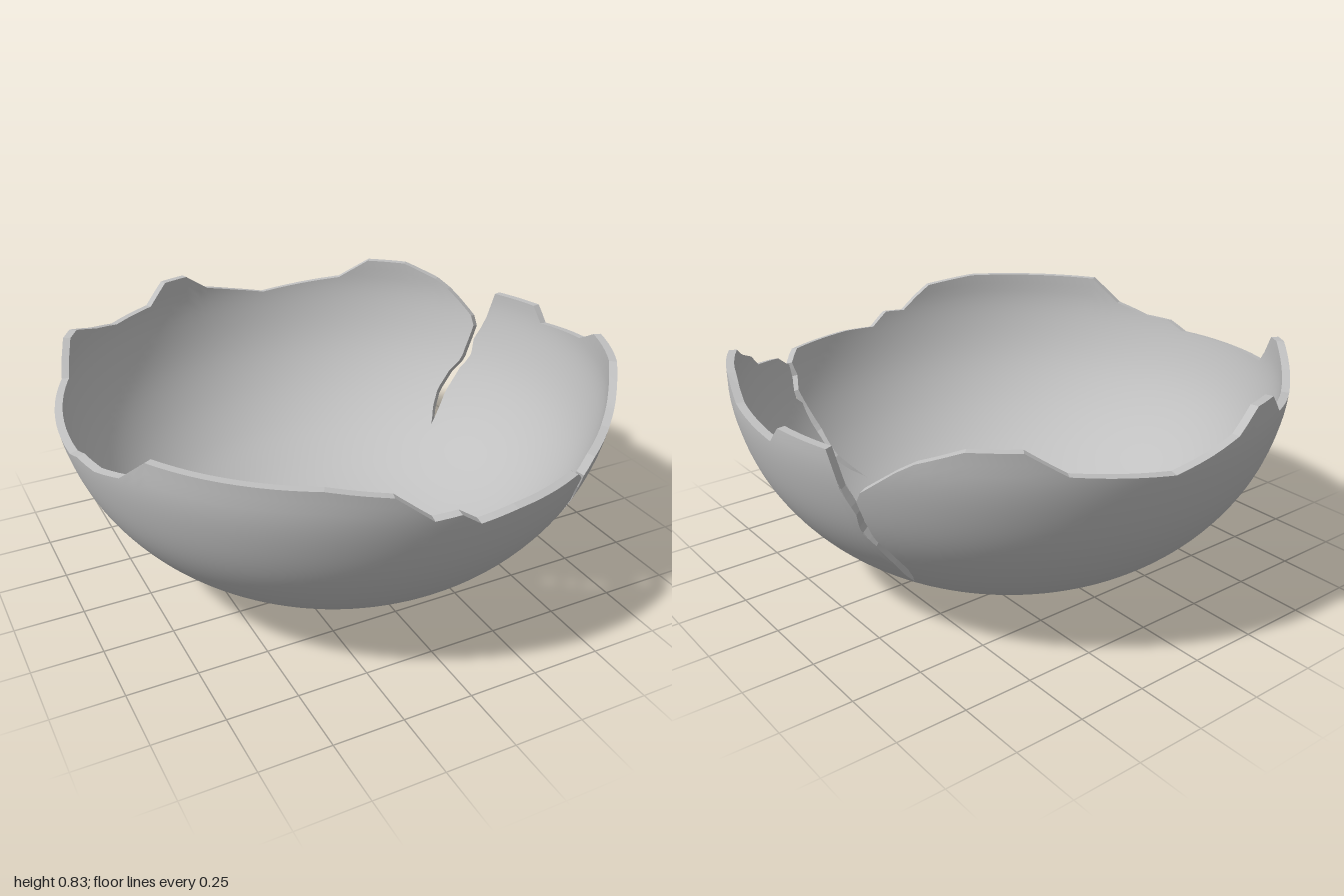
import * as THREE from 'three';

const DEG = Math.PI / 180, THICK = 0.028, ROWS = 44;

// Linear interpolation through [key, value] pairs, clamped at both ends
function lerpTable(table, k) {
  if (k <= table[0][0]) return table[0][1];
  for (let i = 1; i < table.length; i++) {
    const [a, va] = table[i - 1], [b, vb] = table[i];
    if (k <= b) return va + (vb - va) * (k - a) / (b - a);
  }
  return table[table.length - 1][1];
}

// Bowl profile: radius against the square root of height (keeps the base smooth)
const profile = new THREE.CatmullRomCurve3(
  [[0, 0], [0.01, 0.14], [0.02, 0.27], [0.048, 0.4], [0.1, 0.535], [0.18, 0.674], [0.315, 0.82],
    [0.465, 0.92], [0.6, 0.972], [0.72, 0.997], [0.835, 1]]
    .map(([y, r]) => new THREE.Vector3(Math.sqrt(y), r, 0))
).getPoints(160).map(p => [p.x, p.y]);
const radius = q => lerpTable(profile, q);

// Broken rim: [angle from the front towards +x, height]
const rim = [
  [30.3, 0.615], [31.5, 0.63], [33.6, 0.66], [43.2, 0.69], [46, 0.74], [52.3, 0.785], [57, 0.83],
  [71.4, 0.83], [78.4, 0.765], [94, 0.725], [97, 0.785], [109.4, 0.775], [111.2, 0.64],
  [114.4, 0.61], [115.5, 0.65], [123, 0.745], [126.5, 0.78], [135, 0.83], [144.5, 0.83],
  [152, 0.75], [172, 0.7], [180, 0.73], [187, 0.76], [192.7, 0.83], [199, 0.83], [204, 0.75],
  [216, 0.74], [224, 0.775], [233, 0.83], [237, 0.825], [242, 0.7], [256, 0.685], [273, 0.67],
  [278, 0.7], [285, 0.7], [293, 0.735], [300, 0.83], [332, 0.83], [343.5, 0.8], [346.5, 0.76],
  [350.7, 0.7], [355.7, 0.705], [360, 0.65], [368, 0.66], [385.5, 0.66], [388.6, 0.625], [389, 0.61]
];

// Crack edges from [height, x] or [height, z] to [height, angle]
const fromX = pts => pts.map(([y, x]) => [y, Math.asin(x / radius(Math.sqrt(y))) / DEG]);
const fromZ = pts => pts.map(([y, z]) => [y, Math.acos(z / radius(Math.sqrt(y))) / DEG]);
const frontCrackLeft = fromX([[0.16, 0.32], [0.2, 0.38], [0.235, 0.415], [0.33, 0.445], [0.395, 0.465],
  [0.46, 0.472], [0.48, 0.497], [0.51, 0.5], [0.565, 0.487], [0.615, 0.49]]);
const frontCrackRight = fromX([[0.16, 0.32], [0.205, 0.362], [0.255, 0.402], [0.35, 0.42], [0.43, 0.447],
  [0.51, 0.472], [0.56, 0.455], [0.61, 0.47]]).map(([y, a]) => [y, a + 360]);
const sideCrackFront = fromZ([[0.215, -0.32], [0.33, -0.375], [0.43, -0.38], [0.485, -0.36],
  [0.56, -0.38], [0.64, -0.355]]);
const sideCrackBack = fromZ([[0.215, -0.32], [0.27, -0.375], [0.33, -0.41], [0.41, -0.415],
  [0.465, -0.395], [0.51, -0.4], [0.61, -0.4]]);

// One wall piece between two crack edges, as outer skin, inner skin and broken faces
function shellPiece(startEdge, endEdge) {
  const a0 = startEdge[startEdge.length - 1][1], a1 = endEdge[endEdge.length - 1][1];
  const angles = [a0, a1];
  for (const [a] of rim) if (a > a0 + 0.3 && a < a1 - 0.3) angles.push(a);
  for (let a = Math.ceil(a0 / 3) * 3; a < a1; a += 3) {
    if (angles.every(b => Math.abs(a - b) > 0.8)) angles.push(a);
  }
  angles.sort((a, b) => a - b);

  const outer = [], inner = [], normals = [];
  for (const a of angles) {
    const top = Math.sqrt(lerpTable(rim, a));
    for (let j = 0; j <= ROWS; j++) {
      const q = top * j / ROWS, y = q * q, e = 0.012;
      const w0 = Math.max(0, 1 - (a - a0) / 25), w1 = Math.max(0, 1 - (a1 - a) / 25);
      const t = (a + (lerpTable(startEdge, y) - a0) * w0 + (lerpTable(endEdge, y) - a1) * w1) * DEG;
      const lo = Math.max(0, q - e), hi = Math.min(0.913, q + e);
      const slope = (radius(hi) - radius(lo)) / (hi - lo);
      const len = Math.hypot(2 * q, slope), nr = 2 * q / len, ny = -slope / len;
      const n = new THREE.Vector3(Math.sin(t) * nr, ny, Math.cos(t) * nr);
      const p = new THREE.Vector3(Math.sin(t) * radius(q), y, Math.cos(t) * radius(q));
      normals.push(n);
      outer.push(p);
      inner.push(p.clone().addScaledVector(n, -THICK));
    }
  }
  const id = (i, j) => i * (ROWS + 1) + j, last = angles.length - 1;

  const skin = (points, flip) => {
    const index = [];
    for (let i = 0; i < last; i++) for (let j = 0; j < ROWS; j++) {
      const a = id(i, j), b = id(i + 1, j), c = id(i + 1, j + 1), d = id(i, j + 1);
      index.push(...(flip ? [a, c, b, a, d, c] : [a, b, c, a, c, d]));
    }
    const g = new THREE.BufferGeometry().setFromPoints(points);
    const ns = normals.flatMap(n => n.clone().multiplyScalar(flip ? -1 : 1).toArray());
    g.setAttribute('normal', new THREE.Float32BufferAttribute(ns, 3));
    g.setIndex(index);
    return g;
  };

  // Broken faces along the rim and both crack sides
  const faces = [];
  const quad = (a, b, c, d) => faces.push(a, b, c, a, c, d);
  for (let i = 0; i < last; i++) {
    const a = id(i, ROWS), b = id(i + 1, ROWS);
    quad(outer[a], outer[b], inner[b], inner[a]);
  }
  for (let j = 0; j < ROWS; j++) {
    const y = outer[id(0, j + 1)].y;
    if (y > startEdge[0][0]) {
      const a = id(0, j), b = id(0, j + 1);
      quad(inner[a], outer[a], outer[b], inner[b]);
    }
    if (outer[id(last, j + 1)].y > endEdge[0][0]) {
      const a = id(last, j), b = id(last, j + 1);
      quad(outer[a], inner[a], inner[b], outer[b]);
    }
  }
  const edge = new THREE.BufferGeometry().setFromPoints(faces);
  edge.computeVertexNormals();
  return { outerSkin: skin(outer, false), innerSkin: skin(inner, true), brokenEdge: edge };
}

export function createModel() {
  const model = new THREE.Group();
  model.name = 'brokenBowl';
  const shell = new THREE.MeshStandardMaterial({ color: 0xc0c0c0 });
  shell.name = 'shell grey';

  const pieces = {
    smallPiece: shellPiece(frontCrackLeft, sideCrackFront),
    largePiece: shellPiece(sideCrackBack, frontCrackRight)
  };
  for (const [name, parts] of Object.entries(pieces)) {
    const group = new THREE.Group();
    group.name = name;
    for (const [part, geometry] of Object.entries(parts)) {
      const mesh = new THREE.Mesh(geometry, shell);
      mesh.name = part;
      group.add(mesh);
    }
    model.add(group);
  }
  return model;
}
